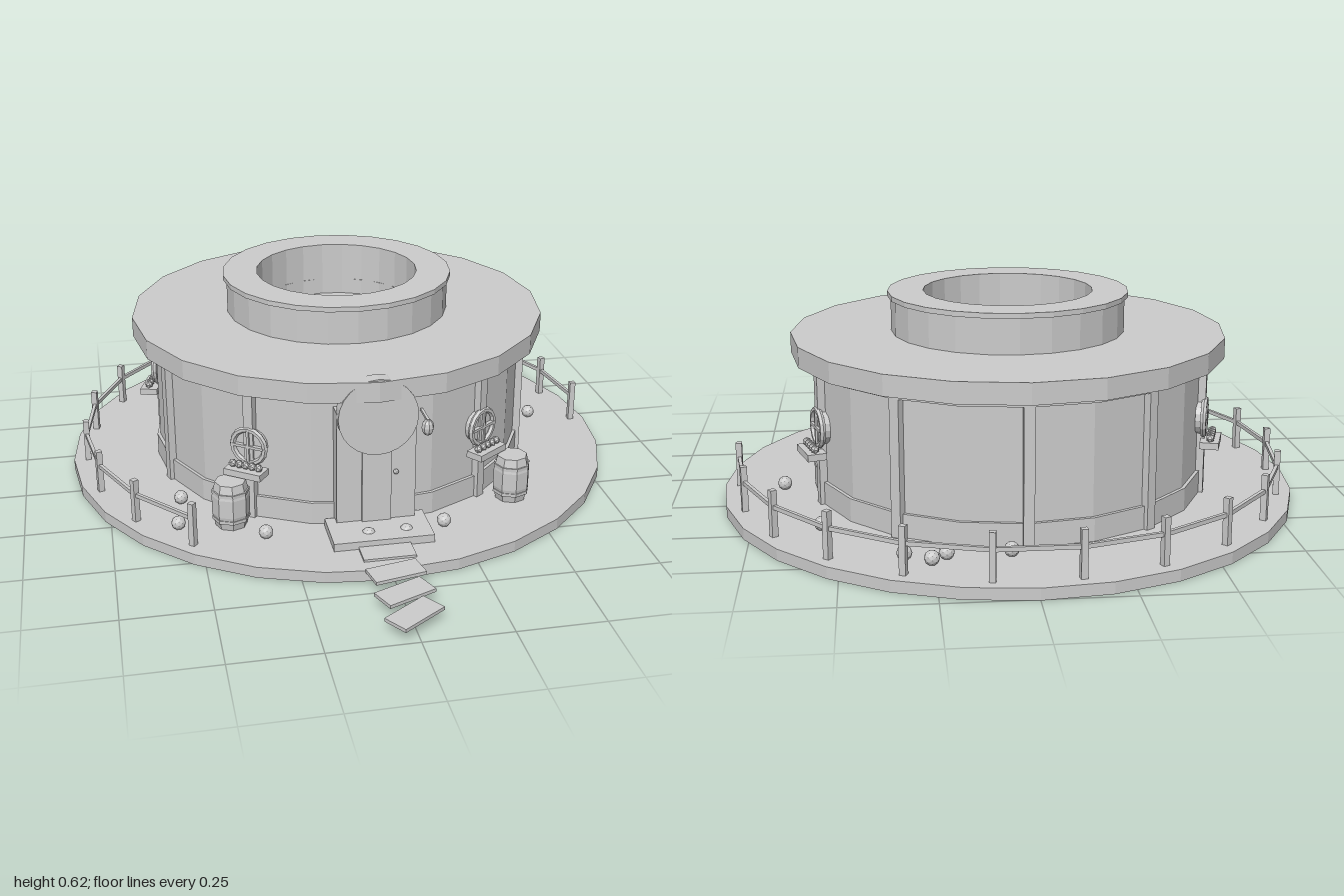
import * as THREE from 'three';

const CZ = -0.155; // centre of the round house on z
const mat = new THREE.MeshStandardMaterial({ color: 0xcccccc, flatShading: true });
const matDouble = new THREE.MeshStandardMaterial({ color: 0xcccccc, flatShading: true, side: THREE.DoubleSide });

function add(parent, name, geo, x = 0, y = 0, z = 0, material = mat) {
  const m = new THREE.Mesh(geo, material);
  m.name = name;
  m.position.set(x, y, z);
  parent.add(m);
  return m;
}
const box = (w, h, d) => new THREE.BoxGeometry(w, h, d);
const lathe = (pts, n) => new THREE.LatheGeometry(pts.map(p => new THREE.Vector2(...p)), n);

// Solid disc between two heights
function disc(parent, name, r, y0, y1, sides) {
  return add(parent, name, new THREE.CylinderGeometry(r, r, y1 - y0, sides), 0, (y0 + y1) / 2, 0);
}

// Group whose +z points outward at the given angle (degrees from +x towards +z)
function outward(parent, name, deg) {
  const g = new THREE.Group();
  g.name = name;
  g.rotation.y = Math.PI / 2 - THREE.MathUtils.degToRad(deg);
  parent.add(g);
  return g;
}

export function createModel() {
  const root = new THREE.Group();
  root.name = 'roundHouse';
  const house = new THREE.Group();
  house.name = 'house';
  house.position.z = CZ;
  root.add(house);

  // Ground and walls
  disc(house, 'groundDisc', 0.85, 0, 0.033, 28);
  disc(house, 'wall', 0.573, 0.03, 0.445, 20);
  disc(house, 'plinth', 0.583, 0.03, 0.1, 20);
  disc(house, 'wallTopBand', 0.595, 0.422, 0.445, 20);

  // Flat ring roof and the open drum above it
  add(house, 'roof', lathe([[0, 0.44], [0.64, 0.44], [0.64, 0.5], [0.25, 0.5]], 20), 0, 0, 0, matDouble);
  add(house, 'roofDrum', lathe([[0.345, 0.5], [0.345, 0.603], [0.355, 0.603], [0.355, 0.618],
    [0.25, 0.618], [0.25, 0.45], [0, 0.45]], 24), 0, 0, 0, matDouble);

  // Wall posts, leaving the doorway free
  for (let i = 0; i < 10; i++) {
    const deg = 18 + 36 * i;
    if (deg === 90) continue;
    const g = outward(house, 'wallPostMount', deg);
    add(g, 'wallPost', box(0.03, 0.41, 0.03), 0, 0.236, 0.578);
  }

  // Round windows with flower shelves
  for (const deg of [54, 126, -18, 198]) {
    const g = outward(house, 'window', deg);
    add(g, 'windowRing', new THREE.TorusGeometry(0.052, 0.009, 6, 16), 0, 0.262, 0.59);
    const pane = add(g, 'windowPane', new THREE.CylinderGeometry(0.05, 0.05, 0.02, 16), 0, 0.262, 0.577);
    pane.rotation.x = Math.PI / 2;
    add(g, 'windowBarUpright', box(0.008, 0.1, 0.012), 0, 0.262, 0.593);
    add(g, 'windowBarAcross', box(0.1, 0.008, 0.012), 0, 0.262, 0.593);
    add(g, 'flowerShelf', box(0.118, 0.02, 0.055), 0, 0.19, 0.61);
    for (let i = -2; i <= 2; i++)
      add(g, 'shelfFlower', new THREE.IcosahedronGeometry(0.013, 0), i * 0.021, 0.21, 0.612);
  }

  // Door with round hood
  add(root, 'doorFrame', box(0.23, 0.37, 0.05), 0, 0.215, 0.425);
  add(root, 'doorPanel', box(0.085, 0.3, 0.012), 0, 0.18, 0.452);
  add(root, 'doorKnob', new THREE.IcosahedronGeometry(0.008, 1), 0.056, 0.208, 0.456);
  const hood = add(root, 'doorHood', new THREE.CylinderGeometry(0.115, 0.115, 0.04, 24), 0, 0.39, 0.455);
  hood.rotation.x = Math.PI / 2;

  // Wall lantern beside the door
  add(root, 'lanternArm', box(0.008, 0.008, 0.08), 0.14, 0.372, 0.445);
  const lantern = add(root, 'lantern', new THREE.SphereGeometry(0.018, 8, 6), 0.14, 0.35, 0.478);
  lantern.scale.y = 1.4;

  // Doorstep and stepping stones, each turned a little further
  add(root, 'doorstep', box(0.29, 0.025, 0.15), 0, 0.044, 0.495);
  for (let i = 0; i < 4; i++) {
    const stone = add(root, 'steppingStone', box(0.15, 0.01, 0.075), 0, 0.035, 0.604 + 0.106 * i);
    stone.rotation.y = 0.2 * i;
  }

  // Barrels with hoops
  for (const [x, z] of [[0.437, 0.345], [-0.407, 0.352]]) {
    const barrel = new THREE.Group();
    barrel.name = 'barrel';
    barrel.position.set(x, 0.03, z);
    root.add(barrel);
    add(barrel, 'barrelBody', lathe([[0, 0], [0.045, 0], [0.055, 0.045], [0.055, 0.1], [0.045, 0.143], [0, 0.143]], 8));
    for (const y of [0.03, 0.113])
      add(barrel, 'barrelHoop', new THREE.CylinderGeometry(0.055, 0.055, 0.01, 8), 0, y, 0);
  }

  // Fence around the back and sides
  const R = 0.805, STEP = 360 / 22;
  const railLength = 2 * R * Math.sin(Math.PI / 22);
  for (let i = 0; i < 15; i++) {
    const post = outward(house, 'fencePostMount', -STEP * i);
    add(post, 'fencePost', box(0.018, 0.135, 0.018), 0, 0.098, R);
    if (i === 14) continue;
    const rail = outward(house, 'fenceRailMount', -STEP * (i + 0.5));
    add(rail, 'fenceRail', box(railLength, 0.012, 0.01), 0, 0.118, R * Math.cos(Math.PI / 22));
  }

  // Small tufts scattered on the ground and doorstep
  const tufts = [[0.05, -0.785], [0.22, -0.79], [0.26, -0.825], [0.33, -0.785], [0.55, -0.55], [0.67, -0.2],
    [-0.54, 0.195], [-0.56, 0.35], [-0.32, 0.45], [0.195, 0.48]];
  for (const [x, z] of tufts)
    add(root, 'tuft', new THREE.IcosahedronGeometry(0.021, 1), x, 0.05, z);
  for (const x of [-0.035, 0.075])
    add(root, 'doorstepTuft', new THREE.IcosahedronGeometry(0.02, 1), x, 0.048, 0.515);

  return root;
}
